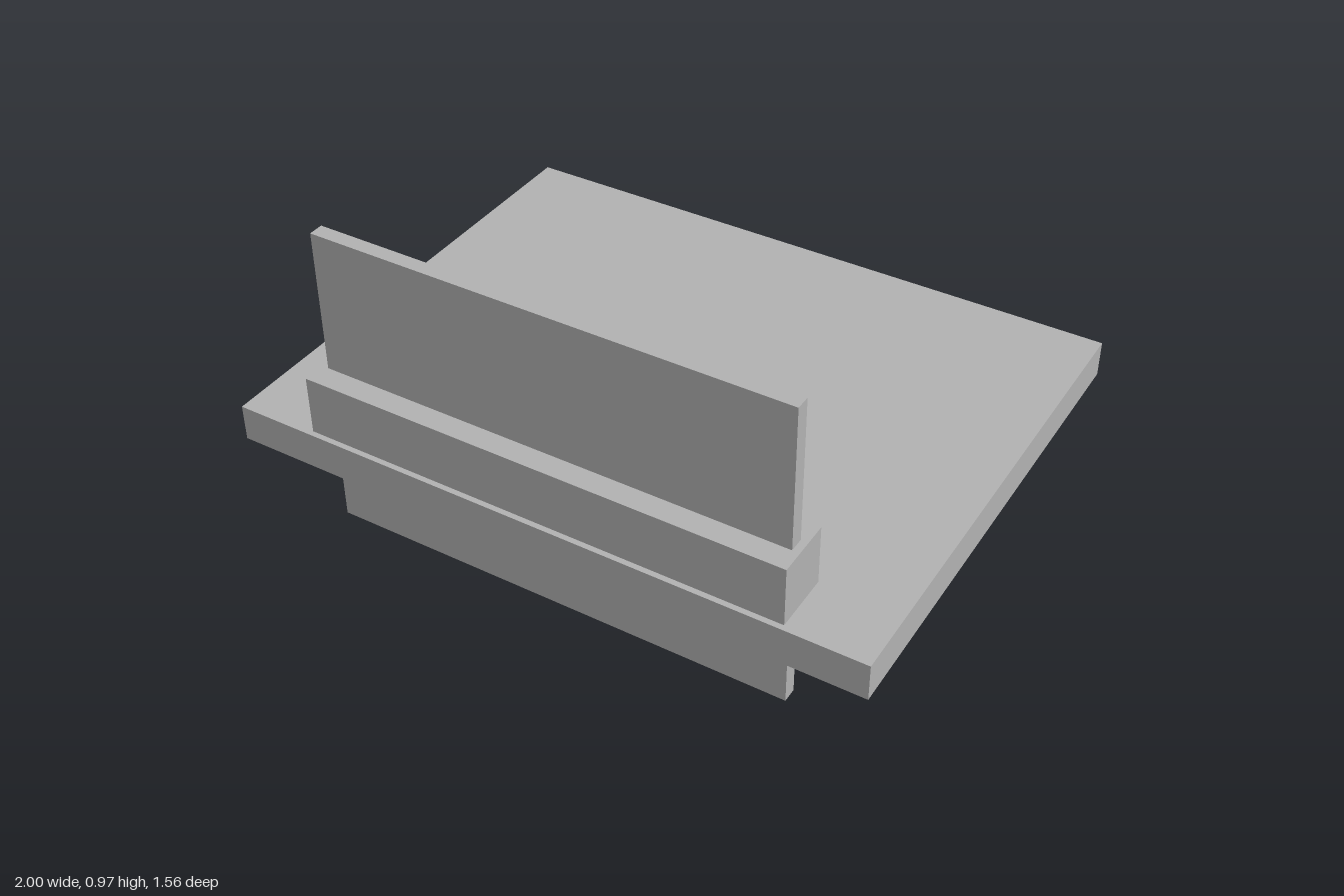
import * as THREE from 'three';

export function createModel() {
  const group = new THREE.Group();
  const grey = new THREE.MeshStandardMaterial({ color: 0xb2b2b2 });
  grey.name = 'plain grey';

  // Box given by its lower and upper limits on each axis
  function addBox(name, [x0, x1], [y0, y1], [z0, z1]) {
    const mesh = new THREE.Mesh(new THREE.BoxGeometry(x1 - x0, y1 - y0, z1 - z0), grey);
    mesh.position.set((x0 + x1) / 2, (y0 + y1) / 2, (z0 + z1) / 2);
    mesh.name = name;
    group.add(mesh);
  }

  // Flat base, with a small block centred underneath
  addBox('basePlate', [-1, 1], [0.228, 0.343], [-0.778, 0.778]);
  addBox('underBlock', [-0.19, 0.19], [0.146, 0.228], [-0.14, 0.14]);

  // Bar along the front edge, and the upright panel that passes through it and the base
  addBox('frontBar', [-0.752, 0.752], [0.343, 0.528], [0.578, 0.761]);
  addBox('uprightPanel', [-0.73, 0.73], [0, 0.972], [0.646, 0.691]);

  return group;
}
